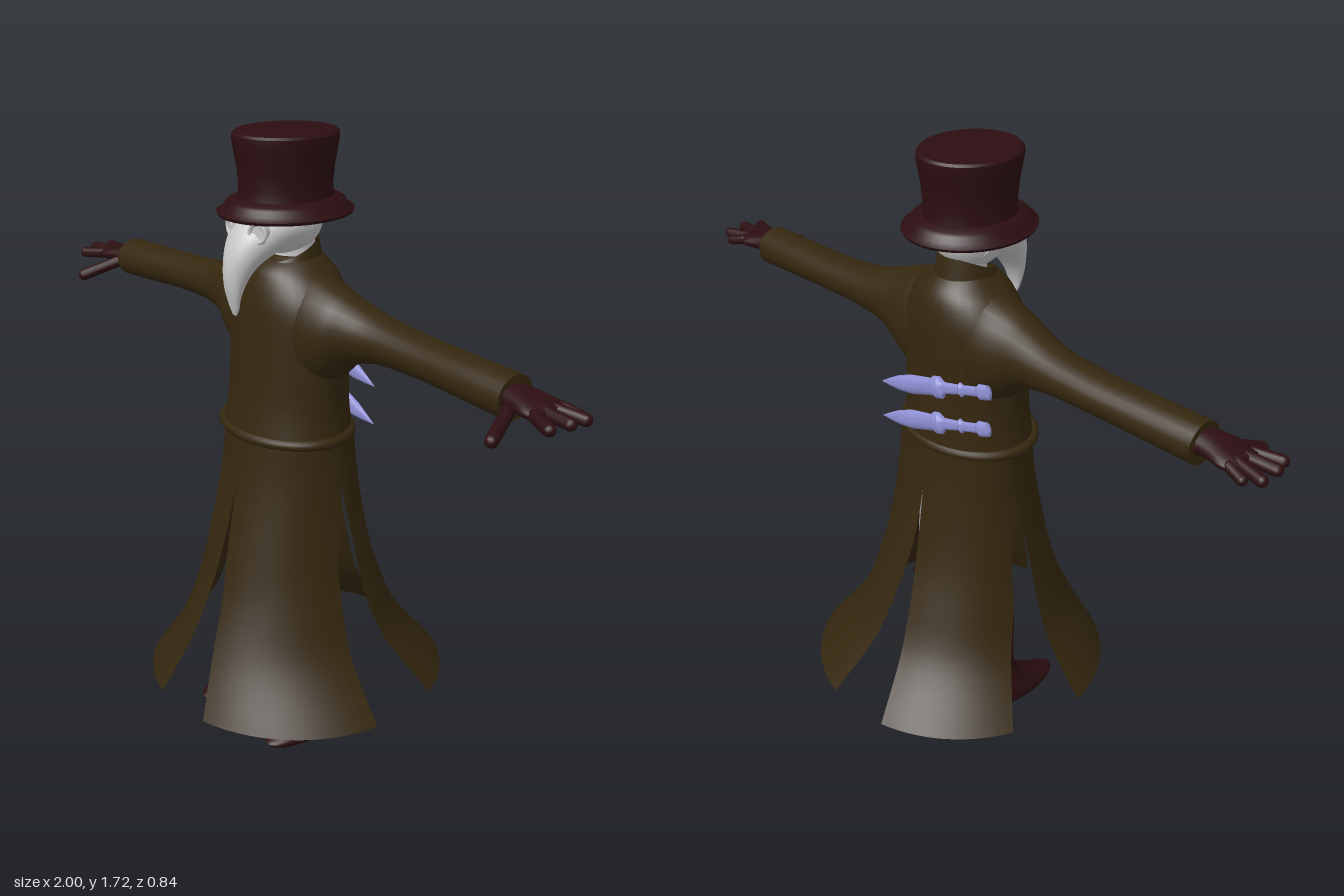
import * as THREE from 'three';
import { toCreasedNormals } from 'three/addons/utils/BufferGeometryUtils.js';

const V = (x, y, z) => new THREE.Vector3(x, y, z);
const mat = (name, color, side = THREE.FrontSide) => {
  const m = new THREE.MeshStandardMaterial({ color, side });
  m.name = name;
  return m;
};

// Smooth a table of section values by spline interpolation
function smooth(rows, steps) {
  const out = [];
  const at = i => rows[Math.max(0, Math.min(rows.length - 1, i))];
  for (let i = 0; i < rows.length - 1; i++) {
    for (let k = 0; k < steps; k++) {
      const t = k / steps, [a, b, c, d] = [at(i - 1), at(i), at(i + 1), at(i + 2)];
      out.push(b.map((p, n) => {
        const m0 = (c[n] - a[n]) / 2, m1 = (d[n] - p) / 2, e = c[n] - p;
        return p + t * (m0 + t * (3 * e - 2 * m0 - m1 + t * (m0 + m1 - 2 * e)));
      }));
    }
  }
  out.push(at(rows.length - 1));
  return out;
}

// Skin a list of rings; closed rings get flat caps
function loft(rings, closed = true) {
  const n = rings[0].length, pos = [], idx = [];
  rings.forEach(r => r.forEach(p => pos.push(p.x, p.y, p.z)));
  for (let i = 0; i < rings.length - 1; i++) {
    for (let j = 0; j < (closed ? n : n - 1); j++) {
      const a = i * n + j, b = i * n + (j + 1) % n;
      idx.push(a, b, b + n, a, b + n, a + n);
    }
  }
  if (closed) [rings[0], rings[rings.length - 1]].forEach((r, end) => {
    const base = pos.length / 3;
    const mid = r.reduce((s, p) => s.add(p), V(0, 0, 0)).divideScalar(n);
    [...r, mid].forEach(p => pos.push(p.x, p.y, p.z));
    for (let j = 0; j < n; j++) {
      const a = base + j, b = base + (j + 1) % n;
      end ? idx.push(a, b, base + n) : idx.push(b, a, base + n);
    }
  });
  const g = new THREE.BufferGeometry();
  g.setAttribute('position', new THREE.Float32BufferAttribute(pos, 3));
  g.setIndex(idx);
  g.computeVertexNormals();
  return g;
}

const ring = (n, f) => Array.from({ length: n }, (_, j) => f(Math.cos(j / n * 2 * Math.PI), Math.sin(j / n * 2 * Math.PI)));
// Sections stacked upwards: y, centre x, half width, front z, back z
const loftY = (rows, n = 32) => loft(smooth(rows, 4).map(([y, cx, rx, f, b]) =>
  ring(n, (c, s) => V(cx + rx * s, y, (f + b) / 2 + (f - b) / 2 * c))));
// Sections running sideways: x, top y, bottom y, front z, back z
const loftX = (rows, n = 24) => loft(smooth(rows, 4).map(([x, t, u, f, b]) =>
  ring(n, (c, s) => V(x, (t + u) / 2 + (t - u) / 2 * c, (f + b) / 2 + (f - b) / 2 * s))));
const lathe = (pts, seg = 40) => toCreasedNormals(
  new THREE.LatheGeometry(pts.map(p => new THREE.Vector2(...p)), seg), 0.6);

export function createModel() {
  const model = new THREE.Group();
  const coat = mat('brown coat', 0x35270f, THREE.DoubleSide);
  const leather = mat('dark red leather', 0x2c0e11);
  const maskGrey = mat('pale mask', 0xc6c6c6);
  const cloth = mat('grey trousers', 0x9c9c9c);
  const steel = mat('lavender steel', 0x9090d6);
  const add = (parent, name, geo, m) => {
    const mesh = new THREE.Mesh(geo, m);
    mesh.name = name;
    parent.add(mesh);
    return mesh;
  };

  // Coat body
  add(model, 'coatBody', loftY([
    [0.9, 0, 0.2, 0.187, -0.14], [1.0, 0, 0.188, 0.17, -0.13], [1.1, 0, 0.19, 0.16, -0.126],
    [1.2, 0, 0.195, 0.152, -0.125], [1.28, 0, 0.185, 0.145, -0.123], [1.34, 0, 0.145, 0.13, -0.112],
    [1.375, 0, 0.105, 0.11, -0.092], [1.4, 0, 0.075, 0.07, -0.065]]), coat);

  // Collar, high at the back and open at the front
  const collar = [0, 1].map(k => Array.from({ length: 29 }, (_, j) => {
    const a = 0.4 + j / 28 * (2 * Math.PI - 0.8), back = (1 - Math.cos(a)) / 2;
    const r = k ? 0.074 : 0.09;
    return V(r * Math.sin(a), k ? 1.385 + 0.07 * back : 1.36, 0.015 + r * 1.05 * Math.cos(a));
  }));
  add(model, 'collar', loft(collar, false), coat);

  // Belt
  const belt = add(model, 'belt', new THREE.TorusGeometry(0.2, 0.015, 12, 56), coat);
  belt.rotation.x = Math.PI / 2;
  belt.scale.set(1, 0.79, 1);
  belt.position.set(0, 0.918, 0.026);

  // Skirt sections: y, half width, front z, back z, centre gap, side gap front, side gap back
  const skirt = smooth([
    [0.145, 0.43, 0.42, 0.44, 0.1, 0.05, 0.185], [0.3, 0.315, 0.345, 0.31, 0.055, 0.045, 0.1],
    [0.45, 0.262, 0.285, 0.24, 0.03, 0.04, 0.05], [0.6, 0.23, 0.245, 0.19, 0.01, 0.03, 0.03],
    [0.78, 0.206, 0.205, 0.155, 0, 0, 0], [0.91, 0.198, 0.187, 0.14, 0, 0, 0]], 5);
  const panel = back => loft(skirt.map(([y, rx, zf, zb, g, sf, sb]) => {
    const rz = back ? zb : zf, h = Math.PI / 2;
    const gap = Math.asin(Math.max(0, g) / rx), side = Math.asin(Math.max(0, back ? sb : sf) / rz);
    const [a, b] = back ? [h + side, 2 * h - gap] : [gap, h - side];
    return Array.from({ length: 15 }, (_, j) => {
      const t = a + (b - a) * j / 14;
      return V(rx * Math.sin(t), y, rz * Math.cos(t));
    });
  }), false);

  // Parts shared by both sides
  for (const s of [1, -1]) {
    const half = new THREE.Group();
    half.name = s > 0 ? 'leftSide' : 'rightSide';
    half.scale.x = s;
    model.add(half);
    add(half, 'frontSkirtPanel', panel(false), coat);
    add(half, 'backSkirtPanel', panel(true), coat);

    // Sleeve
    add(half, 'sleeve', loftX([
      [0.06, 1.375, 1.03, 0.11, -0.1], [0.13, 1.36, 1.05, 0.115, -0.105], [0.2, 1.338, 1.1, 0.1, -0.092],
      [0.25, 1.32, 1.145, 0.08, -0.085], [0.35, 1.294, 1.172, 0.055, -0.08], [0.5, 1.28, 1.175, 0.048, -0.076],
      [0.65, 1.276, 1.168, 0.052, -0.07], [0.8, 1.272, 1.16, 0.055, -0.065]]), coat);

    // Glove with fingers
    const glove = new THREE.Group();
    glove.name = 'glove';
    half.add(glove);
    add(glove, 'palm', loftX([
      [0.77, 1.255, 1.185, 0.04, -0.045], [0.83, 1.25, 1.192, 0.05, -0.05],
      [0.88, 1.24, 1.193, 0.062, -0.062], [0.92, 1.228, 1.2, 0.056, -0.056]]), leather);
    const fingers = [
      [V(0.9, 1.216, -0.046), V(0.945, 1.205, -0.058), 0.014], [V(0.9, 1.218, -0.018), V(0.982, 1.21, -0.035), 0.016],
      [V(0.9, 1.218, 0.014), V(0.984, 1.214, 0.02), 0.016], [V(0.9, 1.215, 0.044), V(0.968, 1.208, 0.07), 0.016],
      [V(0.82, 1.205, 0.035), V(0.866, 1.168, 0.14), 0.017]];
    fingers.forEach(([a, b, r], i) => {
      const f = add(glove, i === 4 ? 'thumb' : 'finger', new THREE.CapsuleGeometry(r, a.distanceTo(b), 5, 12), leather);
      f.position.copy(a).lerp(b, 0.5);
      f.quaternion.setFromUnitVectors(V(0, 1, 0), b.clone().sub(a).normalize());
    });

    // Leg and boot
    add(half, 'trouserLeg', loftY([
      [0.28, 0.153, 0.036, 0.035, -0.025], [0.45, 0.14, 0.04, 0.037, -0.03],
      [0.62, 0.118, 0.048, 0.04, -0.042], [0.9, 0.09, 0.07, 0.08, -0.08]], 20), cloth);
    add(half, 'boot', loftY([
      [0.008, 0.157, 0.052, 0.215, -0.052], [0.022, 0.157, 0.055, 0.225, -0.056], [0.045, 0.157, 0.052, 0.175, -0.052],
      [0.09, 0.155, 0.045, 0.1, -0.042], [0.14, 0.153, 0.042, 0.055, -0.032], [0.24, 0.153, 0.042, 0.045, -0.03],
      [0.31, 0.153, 0.046, 0.043, -0.036], [0.33, 0.153, 0.047, 0.043, -0.042]]), leather);
    const heel = add(half, 'bootHeel', new THREE.CylinderGeometry(0.045, 0.045, 0.02, 24), leather);
    heel.position.set(0.157, 0.01, -0.008);

    // Goggle ring and lens
    const goggle = new THREE.Group();
    goggle.name = 'goggle';
    goggle.position.set(0.05, 1.482, 0.145);
    goggle.rotation.y = 0.35;
    half.add(goggle);
    const barrel = add(goggle, 'goggleBarrel', new THREE.CylinderGeometry(0.024, 0.028, 0.045, 24), maskGrey);
    barrel.rotation.x = Math.PI / 2;
    add(goggle, 'goggleRim', new THREE.TorusGeometry(0.024, 0.006, 8, 28), maskGrey).position.z = 0.022;
  }

  // Head, neck and curved beak (top z, top y, bottom z, bottom y, half width)
  const head = add(model, 'head', new THREE.SphereGeometry(1, 32, 20), maskGrey);
  head.scale.set(0.094, 0.1, 0.108);
  head.position.set(0, 1.5, 0.03);
  add(model, 'neck', new THREE.CylinderGeometry(0.058, 0.062, 0.12, 24), maskGrey).position.set(0, 1.405, 0.005);
  add(model, 'beak', loft(smooth([
    [0.04, 1.54, -0.02, 1.43, 0.092], [0.135, 1.525, 0.05, 1.425, 0.092], [0.182, 1.485, 0.1, 1.405, 0.076],
    [0.21, 1.44, 0.14, 1.38, 0.056], [0.224, 1.39, 0.167, 1.345, 0.038], [0.224, 1.34, 0.185, 1.305, 0.027],
    [0.212, 1.29, 0.19, 1.272, 0.017], [0.202, 1.26, 0.196, 1.258, 0.007]], 4).map(([tz, ty, bz, by, w]) =>
    ring(28, (c, s) => V(w * c, (ty + by) / 2 + (ty - by) / 2 * s, (tz + bz) / 2 + (tz - bz) / 2 * s)))), maskGrey);

  // Tall hat with a sloping brim
  const hat = add(model, 'hat', lathe([
    [0, 1.51], [0.164, 1.51], [0.168, 1.518], [0.152, 1.528], [0.145, 1.542], [0.137, 1.548], [0.117, 1.555],
    [0.114, 1.58], [0.118, 1.63], [0.126, 1.68], [0.129, 1.7], [0.129, 1.716], [0.123, 1.722], [0, 1.722]], 48), leather);
  hat.scale.z = 1.13;
  hat.position.z = 0.027;

  // Two daggers strapped across the back
  const dagger = lathe([
    [0, -0.22], [0.012, -0.18], [0.022, -0.14], [0.028, -0.09], [0.025, 0], [0.032, 0.008], [0.032, 0.028],
    [0.017, 0.042], [0.014, 0.1], [0.021, 0.108], [0.014, 0.118], [0.014, 0.17], [0.022, 0.18], [0.02, 0.212], [0, 0.22]], 16);
  for (const y of [0.992, 1.102]) {
    const d = add(model, 'dagger', dagger, steel);
    d.scale.z = 0.55;
    d.rotation.z = 1.27;
    d.position.set(-0.02, y, -0.128);
  }
  return model;
}
